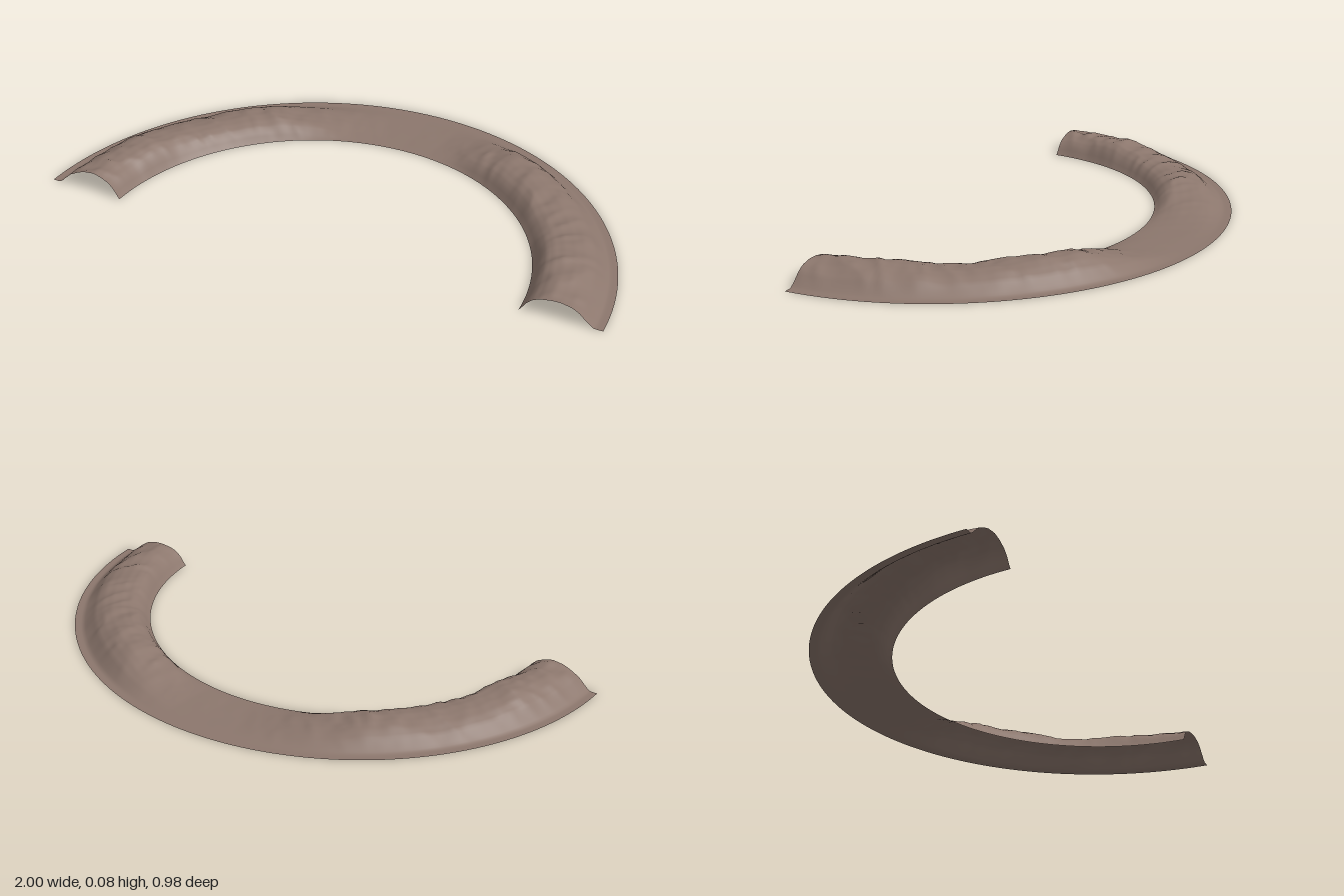
import * as THREE from 'three';

const INNER = 0.727, OUTER = 1, CENTRE_Z = 0.512, END = 88.2;

// Ridge height by angle in degrees from the back of the arc (+ is +x)
const RIDGE = [[-89, 0.068], [-80, 0.07], [-70, 0.077], [-60, 0.061], [-50, 0.058], [-42, 0.06], [-35, 0.061],
  [-29, 0.044], [-22, 0.027], [-15, 0.013], [-8, 0.005], [0, 0.003], [8, 0.006], [14, 0.017], [20, 0.039],
  [25, 0.058], [30, 0.07], [45, 0.067], [54, 0.056], [60, 0.06], [68, 0.072], [80, 0.067], [89, 0.062]];
// Cross-section: position across the band (inner to outer) and share of the ridge height
const SECTION = [[0, 0], [0.03, 0.15], [0.08, 0.47], [0.15, 0.75], [0.25, 0.92], [0.37, 1], [0.5, 0.95],
  [0.62, 0.81], [0.72, 0.6], [0.81, 0.27], [0.88, 0.03], [0.91, 0], [1, 0]];

function sample(table, x) {
  let k = 0;
  while (k < table.length - 2 && x > table[k + 1][0]) k++;
  const [x0, y0] = table[k], [x1, y1] = table[k + 1];
  return y0 + (y1 - y0) * (x - x0) / (x1 - x0);
}

// Seeded smooth value noise, from -1 to 1
function hash(i, j) {
  const s = Math.sin(i * 127.1 + j * 311.7 + 4.2) * 43758.5453;
  return (s - Math.floor(s)) * 2 - 1;
}
function noise(x, y) {
  const i = Math.floor(x), j = Math.floor(y);
  const u = THREE.MathUtils.smoothstep(x - i, 0, 1), v = THREE.MathUtils.smoothstep(y - j, 0, 1);
  const { lerp } = THREE.MathUtils;
  return lerp(lerp(hash(i, j), hash(i + 1, j), u), lerp(hash(i, j + 1), hash(i + 1, j + 1), u), v);
}

function heightAt(deg, t) {
  const base = sample(RIDGE, deg) * sample(SECTION, t);
  // slanting gullies plus finer crags, fading out on the low ground
  const gullies = 1 - 2 * Math.abs(noise(deg * 0.22 + t * 1.5, t * 2.5));
  const crags = noise(deg * 0.5, t * 6 + 20);
  return Math.max(0, base * (1 + 0.09 * gullies + 0.06 * crags));
}

function ridgeGeometry(steps = 220, across = 36) {
  const points = [], index = [];
  for (let i = 0; i <= steps; i++) {
    const deg = -END + 2 * END * i / steps, a = THREE.MathUtils.degToRad(deg);
    for (let j = 0; j <= across; j++) {
      const t = j / across, r = INNER + (OUTER - INNER) * t;
      points.push(r * Math.sin(a), heightAt(deg, t), CENTRE_Z - r * Math.cos(a));
      if (i < steps && j < across) {
        const p = i * (across + 1) + j, q = p + across + 1;
        index.push(p, q, p + 1, q, q + 1, p + 1);
      }
    }
  }
  const geometry = new THREE.BufferGeometry();
  geometry.setAttribute('position', new THREE.Float32BufferAttribute(points, 3));
  geometry.setIndex(index);
  geometry.computeVertexNormals();
  return geometry;
}

export function createModel() {
  const group = new THREE.Group();
  group.name = 'mountainArc';
  const rock = new THREE.MeshStandardMaterial({ color: 0x8c776d, side: THREE.DoubleSide });
  rock.name = 'brownRock';
  // Open, curved strip of hills, flat at the back
  const ridge = new THREE.Mesh(ridgeGeometry(), rock);
  ridge.name = 'mountainRidge';
  group.add(ridge);
  return group;
}
